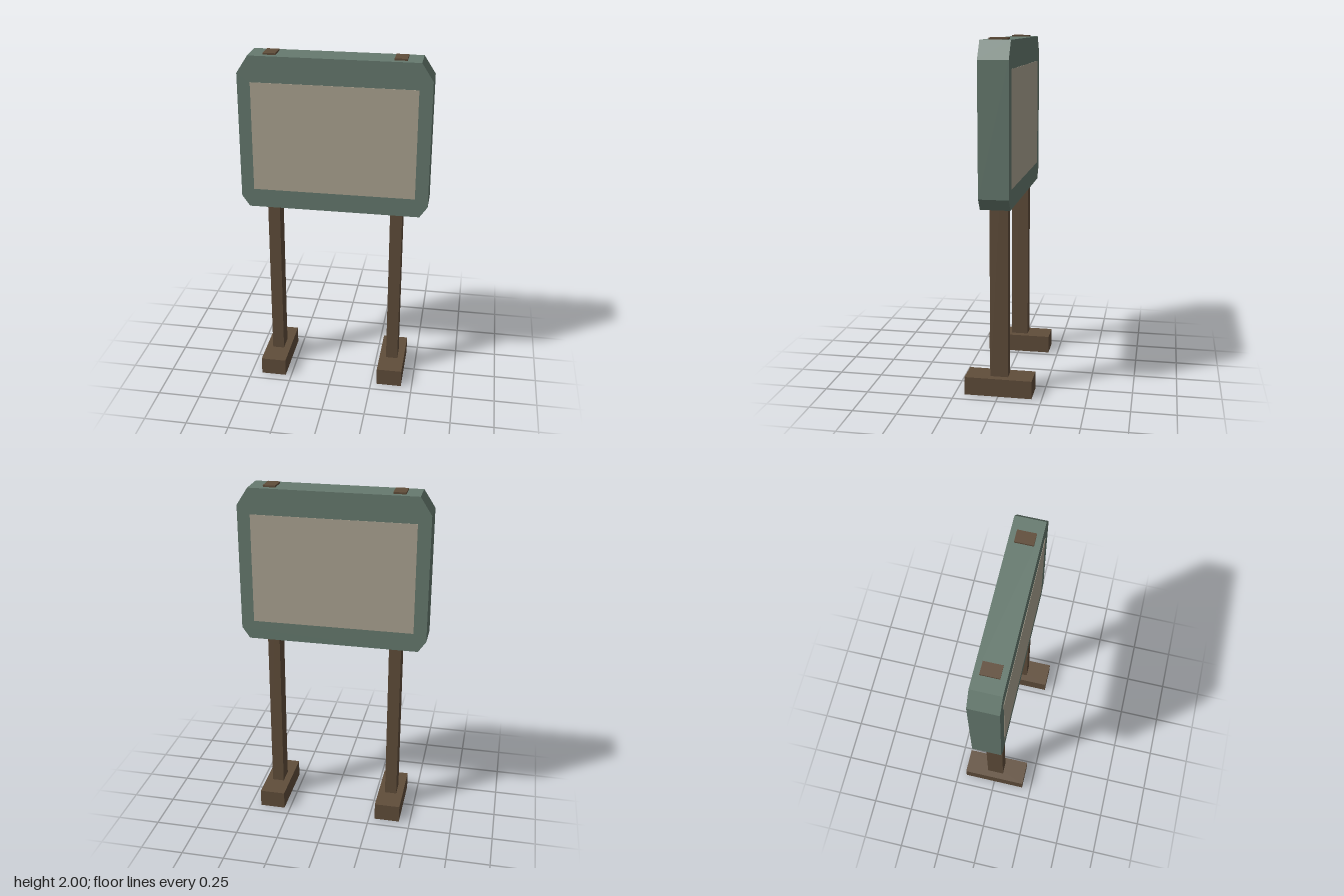
import * as THREE from 'three';

const green = new THREE.MeshStandardMaterial({ name: 'sage green', color: 0x667a6f });
const beige = new THREE.MeshStandardMaterial({ name: 'warm beige', color: 0xaca492 });
const brown = new THREE.MeshStandardMaterial({ name: 'wood brown', color: 0x604d3a });

export function createModel() {
  const model = new THREE.Group();
  model.name = 'signBoard';

  function box(name, material, size, position) {
    const mesh = new THREE.Mesh(new THREE.BoxGeometry(...size), material);
    mesh.name = name;
    mesh.position.set(...position);
    model.add(mesh);
  }

  // Board with clipped corners, larger at the top than at the bottom
  const depth = 0.166;
  const outline = new THREE.Shape([
    [-0.495, 1.095], [0.495, 1.095], [0.54, 1.16], [0.54, 1.89],
    [0.475, 1.99], [-0.475, 1.99], [-0.54, 1.89], [-0.54, 1.16],
  ].map(([x, y]) => new THREE.Vector2(x, y)));
  const boardGeometry = new THREE.ExtrudeGeometry(outline, { depth, bevelEnabled: false });
  boardGeometry.translate(0, 0, -depth / 2);
  const board = new THREE.Mesh(boardGeometry, green);
  board.name = 'board';
  model.add(board);

  // Thin display panels on both faces
  for (const [name, side] of [['frontPanel', 1], ['backPanel', -1]]) {
    box(name, beige, [0.932, 0.636, 0.004], [0, 1.523, side * depth / 2]);
  }

  // Posts run through the board and stand on long feet
  for (const [name, side] of [['left', 1], ['right', -1]]) {
    box(name + 'Post', brown, [0.07, 1.92, 0.102], [side * 0.36, 1.04, 0]);
    box(name + 'Foot', brown, [0.15, 0.105, 0.386], [side * 0.36, 0.0525, 0]);
  }

  return model;
}
